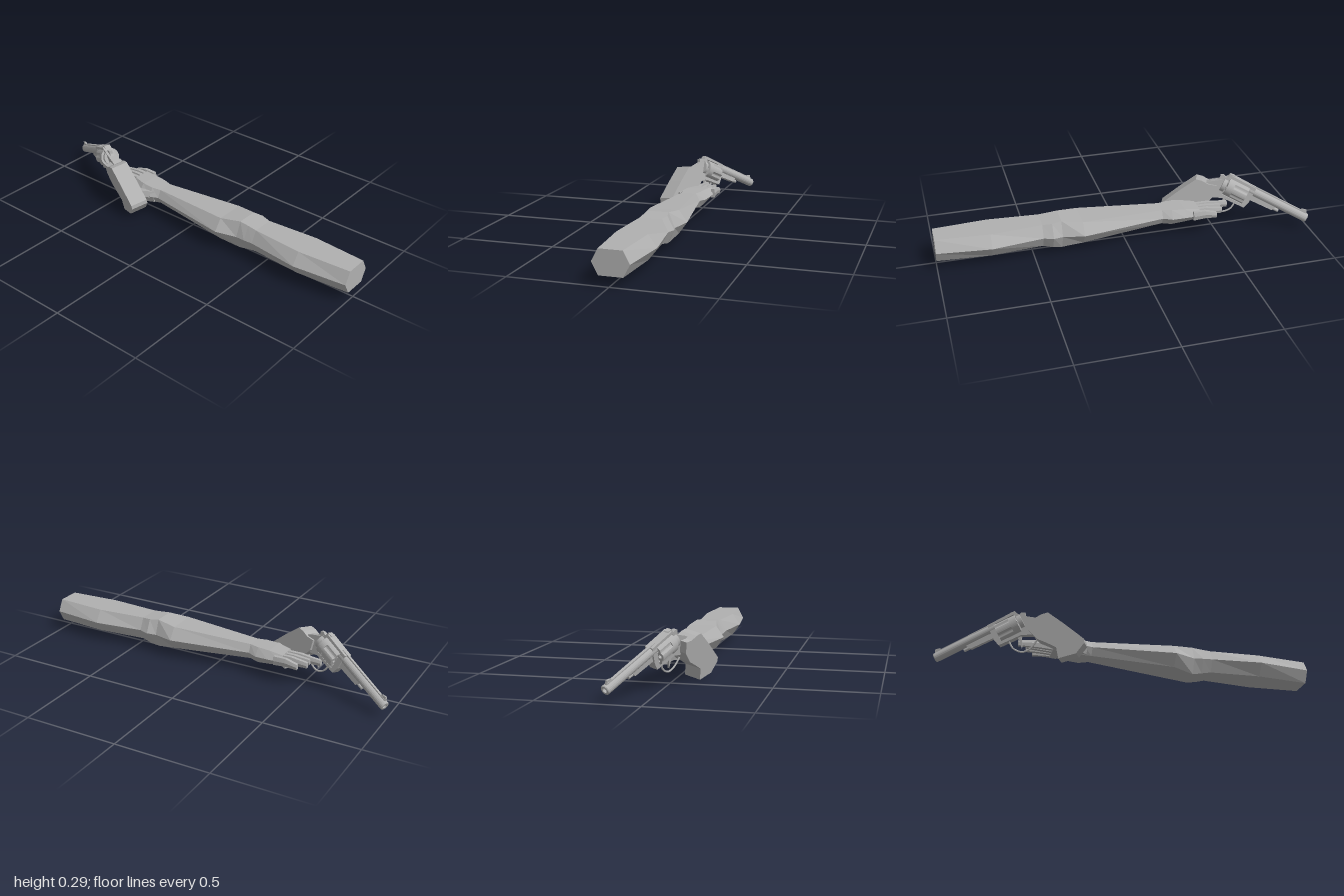
import * as THREE from 'three';

const grey = new THREE.MeshStandardMaterial({ color: 0xb0b0b0 });
grey.name = 'plain grey';

function add(parent, name, geometry) {
  const mesh = new THREE.Mesh(geometry, grey);
  mesh.name = name;
  parent.add(mesh);
  return mesh;
}

// Faceted skin over rings of equal length, running towards -x, capped at both ends.
function loft(rings) {
  const pos = [], n = rings[0].length;
  const tri = (a, b, c) => pos.push(...a, ...b, ...c);
  for (let i = 0; i < rings.length - 1; i++) {
    for (let j = 0; j < n; j++) {
      const k = (j + 1) % n, A = rings[i], B = rings[i + 1];
      tri(A[j], B[j], A[k]);
      tri(A[k], B[j], B[k]);
    }
  }
  const last = rings[rings.length - 1];
  for (let j = 1; j < n - 1; j++) {
    tri(rings[0][0], rings[0][j], rings[0][j + 1]);
    tri(last[0], last[j + 1], last[j]);
  }
  const g = new THREE.BufferGeometry();
  g.setAttribute('position', new THREE.Float32BufferAttribute(pos, 3));
  g.computeVertexNormals();
  return g;
}

// Six-sided section with flat top and bottom and a ridge on each side.
function hexRing([x, bottom, top, back, front]) {
  const mid = (bottom + top) / 2, c = (back + front) / 2, w = (front - back) / 2 * 0.64;
  return [[x, top, c - w], [x, top, c + w], [x, mid, front],
    [x, bottom, c + w], [x, bottom, c - w], [x, mid, back]];
}

// Extrudes an outline symmetrically about z = 0.
function plate(points, thickness, holes = []) {
  const shape = new THREE.Shape(points.map(p => new THREE.Vector2(...p)));
  for (const h of holes) shape.holes.push(new THREE.Path(h.map(p => new THREE.Vector2(...p))));
  return new THREE.ExtrudeGeometry(shape, { depth: thickness, bevelEnabled: false })
    .translate(0, 0, -thickness / 2);
}

function rod(radius, start, end, y, sides = 16) {
  return new THREE.CylinderGeometry(radius, radius, end - start, sides)
    .rotateZ(Math.PI / 2).translate((start + end) / 2, y, 0);
}

function buildArm() {
  const arm = new THREE.Group();
  arm.name = 'armAndHand';

  // x, bottom, top, back, front; the skin runs on from the arm into the palm
  add(arm, 'armAndPalm', loft([
    [1, 0.05, 0.174, -0.1, 0.083],
    [0.72, 0.05, 0.174, -0.13, 0.114],
    [0.45, 0.05, 0.175, -0.096, 0.083],
    [0.4, 0.04, 0.18, -0.11, 0.083],
    [0.35, 0.029, 0.185, -0.098, 0.08],
    [0.24, 0.049, 0.172, -0.128, 0.114],
    [-0.2, 0.075, 0.155, -0.067, 0.058],
    [-0.25, 0.07, 0.155, -0.088, 0.075],
    [-0.32, 0.08, 0.155, -0.097, 0.07],
    [-0.4, 0.095, 0.15, -0.103, 0.04],
  ].map(hexRing)));

  // Fingers: tip x, centre z, tip height
  const fingers = [[-0.49, -0.096, 0.115], [-0.53, -0.063, 0.12], [-0.53, -0.034, 0.125], [-0.58, -0.004, 0.12]];
  fingers.forEach(([tip, z, y], i) => {
    const mid = (tip - 0.36) / 2;
    add(arm, 'finger' + (i + 1), loft([
      [-0.36, 0.1, 0.148, z - 0.014, z + 0.014],
      [mid, 0.105, 0.148, z - 0.014, z + 0.014],
      [tip, y - 0.015, y + 0.015, z - 0.012, z + 0.012],
    ].map(hexRing)));
  });

  add(arm, 'thumb', loft([
    [-0.23, 0.075, 0.14, -0.01, 0.065],
    [-0.3, 0.075, 0.135, 0.03, 0.095],
    [-0.38, 0.085, 0.125, 0.05, 0.09],
  ].map(hexRing)));
  return arm;
}

// Built with the muzzle at the origin, the barrel running back along +x and y up.
function buildRevolver() {
  const gun = new THREE.Group();
  gun.name = 'revolver';

  // Barrel with an open bore
  const profile = [[0, 0.06], [0.012, 0.06], [0.012, 0], [0.021, 0], [0.024, 0.004], [0.024, 0.36], [0, 0.36]]
    .map(p => new THREE.Vector2(...p));
  add(gun, 'barrel', new THREE.LatheGeometry(profile, 20).rotateZ(-Math.PI / 2).toNonIndexed())
    .geometry.computeVertexNormals();
  add(gun, 'barrelRib', plate([[0.02, 0.015], [0.36, 0.015], [0.36, 0.03], [0.02, 0.028]], 0.014));
  add(gun, 'frontSight', plate([[0.01, 0.02], [0.06, 0.02], [0.045, 0.036], [0.022, 0.042]], 0.009));
  add(gun, 'ejectorShroud', plate([[0.17, -0.01], [0.35, -0.01], [0.35, -0.05], [0.19, -0.045]], 0.026));
  add(gun, 'ejectorRod', rod(0.009, 0.155, 0.35, -0.035, 10));

  // Frame with a window for the cylinder
  add(gun, 'frame', plate([
    [0.32, 0.026], [0.47, 0.03], [0.506, -0.012], [0.557, -0.05], [0.6, -0.09], [0.58, -0.17],
    [0.51, -0.13], [0.46, -0.105], [0.33, -0.1], [0.32, -0.06],
  ], 0.044, [[[0.35, -0.087], [0.47, -0.087], [0.47, 0.014], [0.35, 0.014]]]));
  add(gun, 'rearSight', plate([[0.44, 0.022], [0.485, 0.015], [0.48, 0.033], [0.455, 0.034]], 0.026));
  add(gun, 'hammer', plate([[0.48, -0.03], [0.488, 0.004], [0.508, 0.011], [0.525, 0.002], [0.52, -0.015], [0.54, -0.05]], 0.018));
  add(gun, 'recoilShield', rod(0.042, 0.474, 0.495, -0.037, 20));

  // Fluted cylinder with six chambers
  const ring = (count, radius, cx = 0, cy = 0) => Array.from({ length: count }, (_, i) => {
    const t = i / count * Math.PI * 2, r = radius(t);
    return [cx + r * Math.cos(t), cy + r * Math.sin(t)];
  });
  const chambers = ring(6, () => 0.031).map(([x, y]) => ring(10, () => 0.01, x, y));
  const section = flute => ring(48, t => 0.052 - flute * Math.max(0, -Math.cos(6 * t)));
  add(gun, 'cylinderFront', plate(section(0.007), 0.08, chambers).rotateY(Math.PI / 2).translate(0.392, -0.037, 0));
  add(gun, 'cylinderRear', plate(section(0), 0.036, chambers).rotateY(Math.PI / 2).translate(0.45, -0.037, 0));

  // Trigger and its guard
  const guard = new THREE.CatmullRomCurve3([
    [0.385, -0.098], [0.39, -0.145], [0.425, -0.183], [0.47, -0.185], [0.52, -0.16],
  ].map(([x, y]) => new THREE.Vector3(x, y, 0)));
  add(gun, 'triggerGuard', new THREE.TubeGeometry(guard, 20, 0.005, 6));
  add(gun, 'trigger', plate([[0.435, -0.1], [0.455, -0.1], [0.447, -0.135], [0.43, -0.165], [0.434, -0.135]], 0.012));

  // Broad grip
  add(gun, 'grip', plate([
    [0.52, -0.055], [0.56, -0.068], [0.6, -0.066], [0.634, -0.073], [0.685, -0.17], [0.74, -0.285],
    [0.733, -0.305], [0.672, -0.336], [0.58, -0.318], [0.595, -0.26], [0.56, -0.215], [0.525, -0.174], [0.504, -0.11],
  ], 0.092).translate(0, 0, 0.012));

  // Aim the gun: columns are its rearward, up and side directions
  const back = new THREE.Vector3(2, 1, 1).normalize();
  const side = new THREE.Vector3(-0.37, -0.173, 0.913).normalize();
  const up = new THREE.Vector3().crossVectors(side, back).normalize();
  side.crossVectors(back, up);
  gun.quaternion.setFromRotationMatrix(new THREE.Matrix4().makeBasis(back, up, side));
  gun.position.set(-0.985, 0.058, -0.17);
  return gun;
}

export function createModel() {
  const model = new THREE.Group();
  model.name = 'armHoldingRevolver';
  model.add(buildArm(), buildRevolver());
  return model;
}
